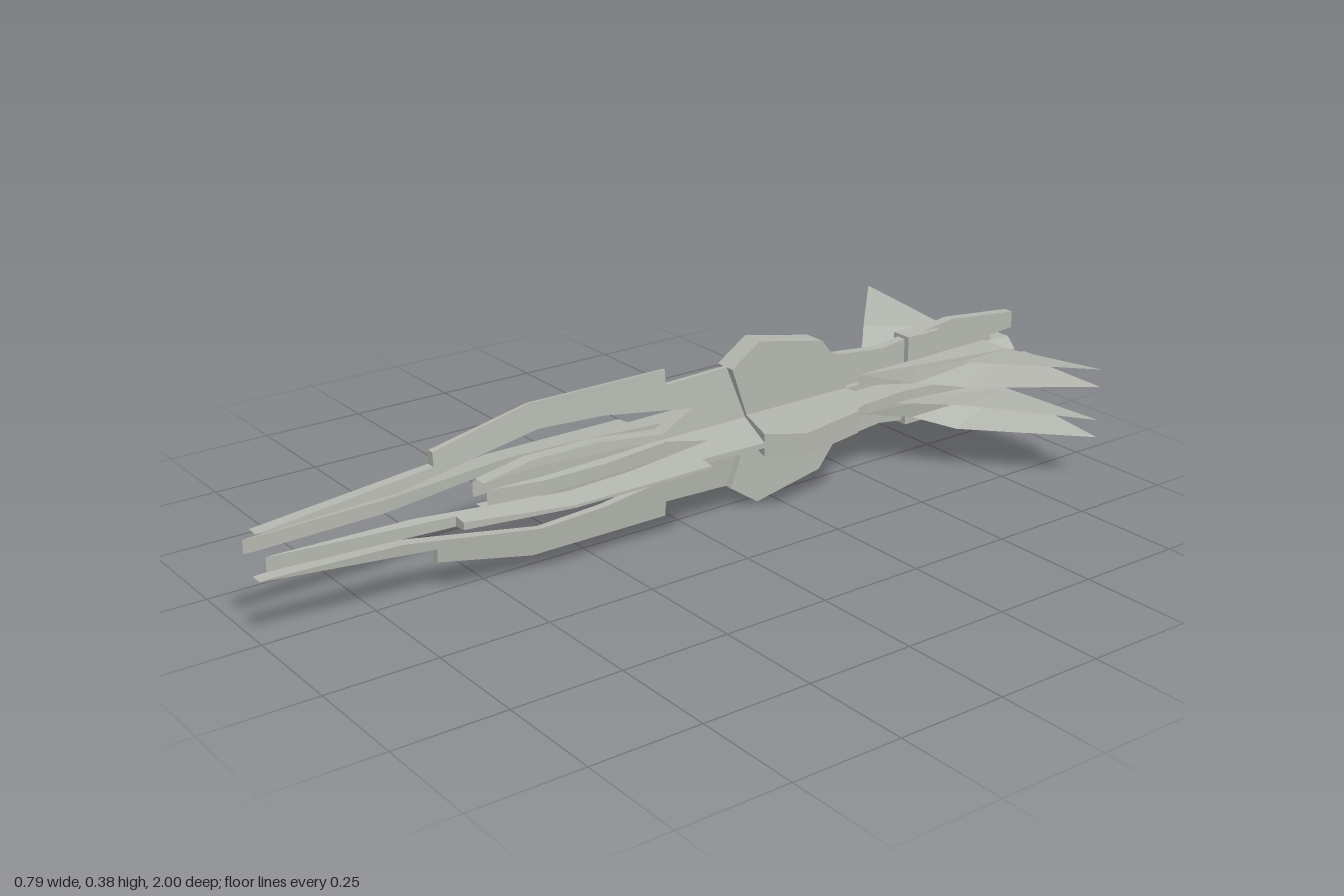
import * as THREE from 'three';

const hull = new THREE.MeshStandardMaterial({ color: 0xb4b7af, flatShading: true, side: THREE.DoubleSide });
hull.name = 'pale grey hull';

// Flat plate from an outline of [radius, z]; half thickness falls off with radius
function plate(name, outline, half) {
  const shape = new THREE.Shape(outline.map(([r, z]) => new THREE.Vector2(r, z)));
  const geo = new THREE.ExtrudeGeometry(shape, { depth: 1, bevelEnabled: false });
  const p = geo.attributes.position;
  for (let i = 0; i < p.count; i++) {
    const r = p.getX(i), z = p.getY(i), side = p.getZ(i) > 0.5 ? -1 : 1;
    p.setXYZ(i, r, side * half(r), z);
  }
  geo.computeVertexNormals();
  return part(name, geo);
}

function part(name, geo) {
  const mesh = new THREE.Mesh(geo, hull);
  mesh.name = name;
  return mesh;
}

// Sheet from named corner points and triangles
function sheet(name, points, faces) {
  const geo = new THREE.BufferGeometry();
  geo.setAttribute('position', new THREE.Float32BufferAttribute(faces.flat().flatMap(i => points[i]), 3));
  geo.computeVertexNormals();
  return part(name, geo);
}

// Long outer prong with the short inner blade growing from the same root
const prong = [
  [0, -0.25], [0.14, -0.25], [0.14, -0.13], [0.135, 0.035], [0.17, 0.035], [0.17, 0.38], [0.12, 0.61],
  [0.09, 0.61], [0.05, 1], [0.048, 0.98], [0.057, 0.69], [0.112, 0.36], [0.104, 0.2], [0.07, -0.03],
  [0.03, 0.05], [0.05, 0.22], [0.05, 0.38], [0.028, 0.5], [0.033, 0.37], [0.025, 0.17], [0.015, 0.05], [0, 0.02],
];
const shoulder = [[0, -0.18], [0.14, -0.13], [0.19, -0.205], [0.155, -0.385], [0.06, -0.46], [0, -0.46]];
const tailFin = [
  [0, -0.4], [0.12, -0.4], [0.105, -0.45], [0.092, -0.58], [0.12, -0.8],
  [0.1, -1], [0.06, -1], [0.055, -0.93], [0, -0.93],
];

// Paired wing skins, joined at the inner trailing corner
const skinFaces = [[0, 1, 4], [1, 2, 4], [2, 3, 4], [0, 4, 5]];
const upper = [
  [0.025, 0.048, -0.5], [0.09, 0.06, -0.61], [0.165, 0.082, -0.68],
  [0.395, 0.082, -0.9], [0.1, 0.05, -0.9], [0.02, 0.05, -0.9],
];
const lower = [
  [0.025, 0.022, -0.5], [0.095, 0.025, -0.61], [0.18, 0.022, -0.69],
  [0.395, 0.04, -0.9], [0.1, 0.048, -0.9], [0.02, 0.046, -0.9],
];

export function createModel() {
  const model = new THREE.Group();
  model.name = 'spacecraft';
  const ship = new THREE.Group();
  ship.name = 'body';
  ship.position.y = 0.19;
  model.add(ship);

  // Four identical arms around the long axis
  for (let i = 0; i < 4; i++) {
    const arm = new THREE.Group();
    arm.name = 'arm';
    arm.rotation.z = i * Math.PI / 2;
    arm.add(
      plate('prong', prong, r => 0.02 - 0.1 * r),
      plate('shoulder', shoulder, () => 0.026),
      plate('tailFin', tailFin, () => 0.012),
    );
    ship.add(arm);
  }

  // Two wings in each quadrant, with a wall closing the root between them
  for (const sx of [1, -1]) for (const sy of [1, -1]) {
    const wing = new THREE.Group();
    wing.name = 'wingPair';
    wing.scale.set(sx, sy, 1);
    wing.add(
      sheet('outerWing', upper, skinFaces),
      sheet('innerWing', lower, skinFaces),
      sheet('wingRoot', [upper[0], upper[1], lower[1], lower[0], upper[4]], [[0, 3, 2], [0, 2, 1], [1, 2, 4]]),
    );
    ship.add(wing);
  }

  // Central spine, collar, engine and nose
  const spine = part('spine', new THREE.BoxGeometry(0.05, 0.05, 0.5));
  spine.position.z = -0.67;
  const collar = part('collar', new THREE.BoxGeometry(0.05, 0.24, 0.1));
  collar.position.z = -0.7;
  collar.scale.y = 0.9;
  const engine = part('engine', new THREE.CylinderGeometry(0.046, 0.046, 0.1, 8));
  engine.rotation.set(Math.PI / 2, Math.PI / 8, 0);
  engine.position.z = -0.935;
  const nose = part('nose', new THREE.ConeGeometry(0.026, 0.06, 4).rotateY(Math.PI / 4));
  nose.rotation.x = Math.PI / 2;
  nose.position.z = 0.04;
  ship.add(spine, collar, engine, nose);
  return model;
}
